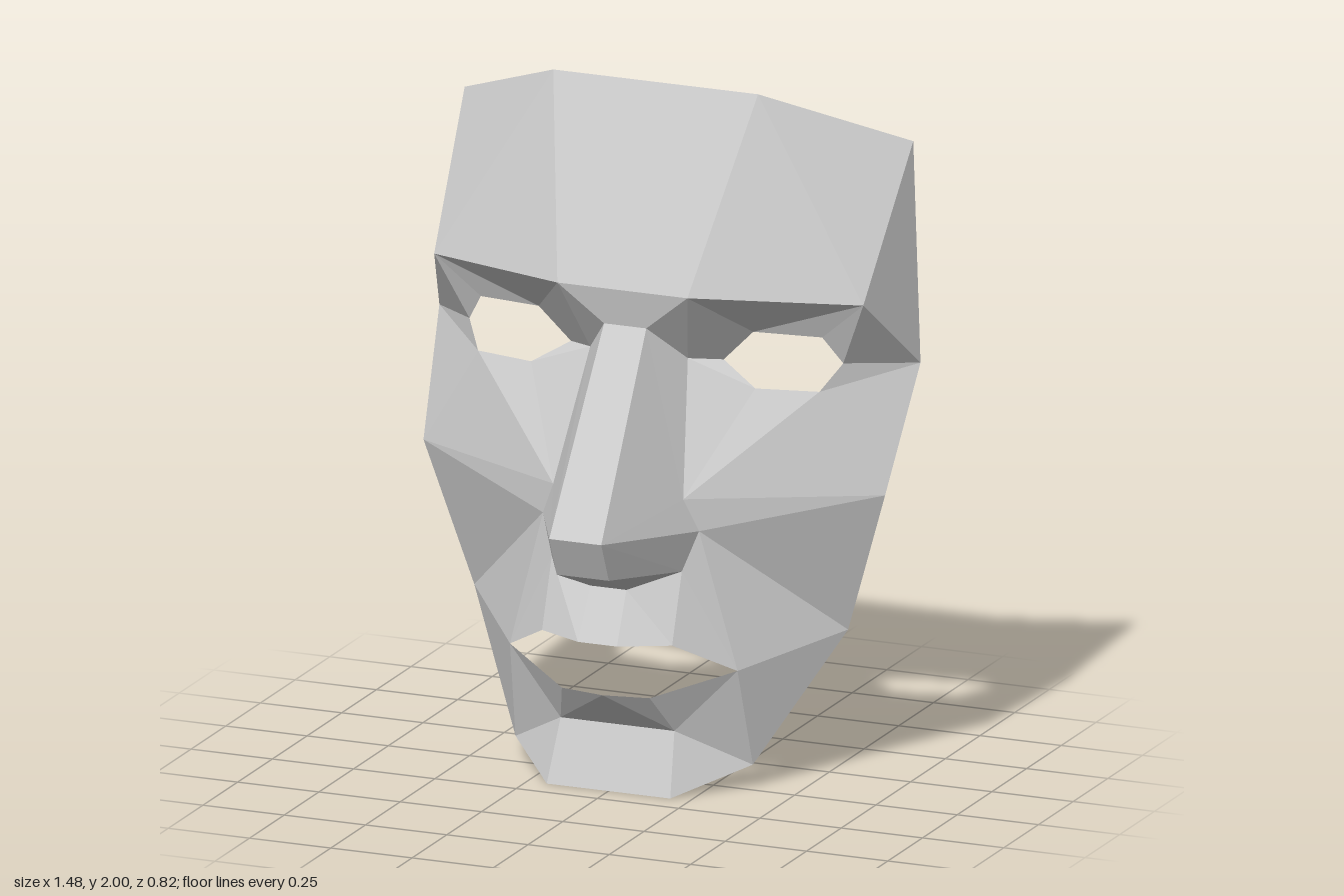
import * as THREE from 'three';

// Landmarks on the model's left half (+x); the right half is mirrored
const P = {
  crown: [0.315, 2, -0.17], temple: [0.69, 1.84, -0.41],
  browOut: [0.66, 1.43, -0.12], browIn: [0.2, 1.45, 0.07], side: [0.74, 1.21, -0.345],
  bridge: [0.065, 1.34, 0.05], tip: [0.08, 0.8, 0.41], tipLow: [0.08, 0.68, 0.355],
  noseBase: [0.055, 0.6, 0.17], nostril: [0.2, 0.655, 0.11], wing: [0.24, 0.77, 0.08],
  wingTop: [0.2, 0.865, 0.1], socket: [0.15, 1.235, -0.05],
  eyeIn: [0.235, 1.225, -0.11], eyeTopIn: [0.33, 1.32, -0.1], eyeTopOut: [0.525, 1.315, -0.14],
  eyeOut: [0.575, 1.235, -0.175], eyeLowOut: [0.525, 1.16, -0.12], eyeLowIn: [0.345, 1.16, -0.08],
  cheek: [0.71, 0.865, -0.16], jaw: [0.575, 0.44, -0.21], jawLow: [0.365, 0.07, -0.015],
  chin: [0.19, 0, 0.17], chinTop: [0.175, 0.18, 0.105],
  lipLow: [0.135, 0.295, 0.19], lipLowMid: [0, 0.295, 0.215],
  mouthCorner: [0.35, 0.365, 0.06], lipUp: [0.2, 0.455, 0.18], lipUpIn: [0.06, 0.455, 0.25],
};

// Faces per part, counter-clockwise from the front; '-' marks a mirrored point.
// 'half' faces are repeated on both sides, 'mid' faces span the centre line.
const PARTS = {
  forehead: {
    half: ['crown browIn browOut', 'crown browOut temple', 'temple browOut side'],
    mid: ['crown- browIn- browIn crown'],
  },
  brow: {
    half: ['browIn bridge socket', 'browIn socket eyeIn', 'browIn eyeIn eyeTopIn',
      'browIn eyeTopIn browOut', 'browOut eyeTopIn eyeTopOut', 'browOut eyeTopOut eyeOut',
      'browOut eyeOut side'],
    mid: ['browIn- bridge- bridge browIn'],
  },
  nose: {
    half: ['bridge tip wingTop socket', 'tip wing wingTop', 'tip tipLow nostril wing',
      'tipLow noseBase nostril'],
    mid: ['bridge- tip- tip bridge', 'tip- tipLow- tipLow tip',
      'tipLow- noseBase- noseBase tipLow'],
  },
  cheek: {
    half: ['socket eyeLowIn eyeIn', 'socket wingTop eyeLowIn', 'eyeLowIn wingTop eyeLowOut',
      'eyeLowOut wingTop cheek', 'eyeOut eyeLowOut side', 'eyeLowOut cheek side',
      'wingTop wing cheek', 'wing jaw cheek', 'wing mouthCorner jaw',
      'wing nostril mouthCorner'],
  },
  upperLip: {
    half: ['nostril lipUp mouthCorner', 'noseBase lipUpIn lipUp nostril'],
    mid: ['noseBase- lipUpIn- lipUpIn noseBase'],
  },
  jawAndChin: {
    half: ['mouthCorner jawLow jaw', 'mouthCorner chinTop jawLow', 'chinTop chin jawLow',
      'mouthCorner lipLow chinTop', 'lipLow lipLowMid chinTop'],
    mid: ['lipLowMid chinTop- chinTop', 'chinTop- chin- chin chinTop'],
  },
};

function point(name) {
  const [x, y, z] = P[name.replace('-', '')];
  return name.endsWith('-') ? [-x, y, z] : [x, y, z];
}

// Split a polygon into a triangle fan
function addFace(out, corners) {
  for (let i = 1; i < corners.length - 1; i++) {
    out.push(...corners[0], ...corners[i], ...corners[i + 1]);
  }
}

export function createModel() {
  const mask = new THREE.Group();
  mask.name = 'faceMask';
  const material = new THREE.MeshStandardMaterial({
    color: 0xcccccc, flatShading: true, side: THREE.DoubleSide,
  });
  for (const [name, { half = [], mid = [] }] of Object.entries(PARTS)) {
    const positions = [];
    for (const face of half) {
      const corners = face.split(' ').map(point);
      addFace(positions, corners);
      addFace(positions, corners.map(([x, y, z]) => [-x, y, z]).reverse());
    }
    for (const face of mid) addFace(positions, face.split(' ').map(point));
    const geometry = new THREE.BufferGeometry();
    geometry.setAttribute('position', new THREE.Float32BufferAttribute(positions, 3));
    geometry.computeVertexNormals();
    const mesh = new THREE.Mesh(geometry, material);
    mesh.name = name;
    mask.add(mesh);
  }
  return mask;
}
